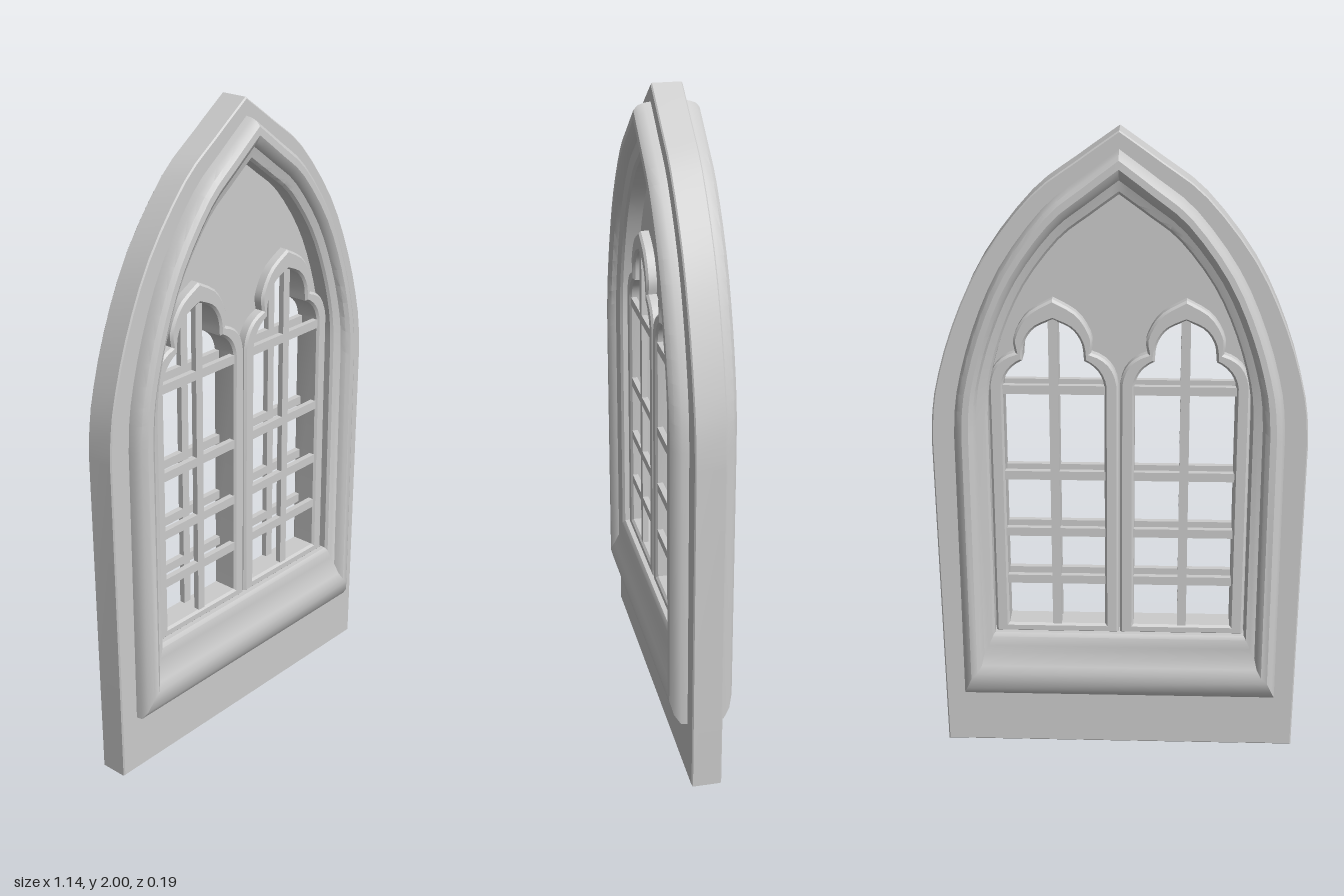
import * as THREE from 'three';
import { toCreasedNormals } from 'three/addons/utils/BufferGeometryUtils.js';

const stone = new THREE.MeshStandardMaterial({ color: 0xcccccc });
const V = (x, y) => new THREE.Vector2(x, y);

// Pointed arch: one half as unit width (x) and rise above the springing (y)
const ARCH = new THREE.SplineCurve([
  V(1, 0), V(0.975, 0.16), V(0.87, 0.38), V(0.7, 0.6), V(0.445, 0.8), V(0.22, 0.905), V(0, 1),
]).getPoints(18);

// Counter-clockwise outline of an arched opening
function archOutline(halfWidth, apex, spring, bottom, taper = 1) {
  const right = ARCH.map(p => V(p.x * halfWidth, spring + p.y * (apex - spring)));
  const left = right.slice(0, -1).reverse().map(p => V(-p.x, p.y));
  return [V(-halfWidth * taper, bottom), V(halfWidth * taper, bottom), ...right, ...left];
}

// Plate with holes, centred on z = 0, with softened edges
function plate(outline, holes, thickness, bevel) {
  const shape = new THREE.Shape(outline);
  shape.holes = holes.map(h => new THREE.Path(h));
  const geo = new THREE.ExtrudeGeometry(shape, {
    depth: thickness - 2 * bevel, bevelEnabled: bevel > 0, bevelSegments: 1,
    bevelThickness: bevel, bevelSize: bevel, bevelOffset: -bevel,
  });
  geo.translate(0, 0, bevel - thickness / 2);
  return toCreasedNormals(geo, 0.5);
}

// Skin through a series of closed rings that share a point count
function loft(rings) {
  const n = rings[0].length, pos = [], index = [];
  rings.forEach(r => r.forEach(p => pos.push(p.x, p.y, p.z)));
  for (let k = 0; k < rings.length - 1; k++) {
    for (let i = 0; i < n; i++) {
      const a = k * n + i, b = k * n + (i + 1) % n;
      index.push(a, b, b + n, a, b + n, a + n);
    }
  }
  const geo = new THREE.BufferGeometry();
  geo.setAttribute('position', new THREE.Float32BufferAttribute(pos, 3));
  geo.setIndex(index);
  return toCreasedNormals(geo, 0.5);
}

// Trefoil-headed light about its own centre line
function lancetOutline(halfWidth, bottom, spring, lobe, cusp, head) {
  const lower = new THREE.QuadraticBezierCurve(V(halfWidth, spring), V(...lobe), V(...cusp)).getPoints(6);
  const upper = new THREE.SplineCurve([V(...cusp), ...head.map(h => V(...h))]).getPoints(10);
  const right = [V(halfWidth, bottom), ...lower, ...upper.slice(1)];
  return [...right, ...right.slice(0, -1).reverse().map(p => V(-p.x, p.y))];
}

export function createModel() {
  const model = new THREE.Group();
  const add = (name, geo, parent = model) => {
    const mesh = new THREE.Mesh(geo, stone);
    mesh.name = name;
    parent.add(mesh);
    return mesh;
  };

  // Flat outer surround
  add('wallSurround', plate(archOutline(0.57, 2, 1.06, 0, 0.983),
    [archOutline(0.465, 1.9, 1.1, 0.27)], 0.092, 0.004));

  // Moulding and sill: half width, apex, springing, bottom, z; mirrored to the back
  const front = [
    [0.5, 1.948, 1.08, 0.185, 0.04],
    [0.498, 1.945, 1.08, 0.188, 0.066],
    [0.488, 1.938, 1.085, 0.215, 0.085],
    [0.472, 1.925, 1.09, 0.255, 0.096],
    [0.452, 1.9, 1.1, 0.275, 0.097],
    [0.438, 1.88, 1.11, 0.3, 0.088],
    [0.43, 1.865, 1.12, 0.335, 0.074],
    [0.415, 1.85, 1.13, 0.365, 0.07],
    [0.402, 1.832, 1.145, 0.395, 0.066],
    [0.395, 1.822, 1.15, 0.407, 0.058],
  ];
  const profile = [...front, ...front.slice().reverse().map(([w, a, s, b, z]) => [w, a, s, b, -z])];
  add('archMoulding', loft(profile.map(([w, a, s, b, z]) =>
    archOutline(w, a, s, b).map(p => new THREE.Vector3(p.x, p.y, z)))));

  // Outer, inner and middle lines of a light's frame
  const outer = lancetOutline(0.195, 0.402, 1.24, [0.185, 1.32], [0.113, 1.34],
    [[0.116, 1.39], [0.075, 1.46], [0, 1.505]]);
  const inner = lancetOutline(0.152, 0.433, 1.235, [0.145, 1.29], [0.092, 1.315],
    [[0.085, 1.37], [0.055, 1.415], [0, 1.442]]);
  const middle = outer.map((p, i) => p.clone().lerp(inner[i], 0.5));
  const centres = [-0.197, 0.197];

  // Recessed panel filling the arch above the lights
  add('tympanum', plate(archOutline(0.4, 1.83, 1.15, 0.4),
    centres.map(c => middle.map(p => V(p.x + c, p.y))), 0.024, 0));

  // Two lights with glazing bars on both faces
  centres.forEach((c, i) => {
    const light = new THREE.Group();
    light.name = i ? 'leftLight' : 'rightLight';
    light.position.x = c;
    model.add(light);
    add('trefoilFrame', plate(outer, [inner], 0.088, 0.007), light);
    for (const z of [-0.03, 0.03]) {
      add('uprightBar', new THREE.BoxGeometry(0.028, 1.02, 0.018), light).position.set(0, 0.936, z);
      for (const y of [0.588, 0.752, 0.943, 1.222]) {
        add('crossBar', new THREE.BoxGeometry(0.32, 0.028, 0.018), light).position.set(0, y, z);
      }
    }
  });

  return model;
}
